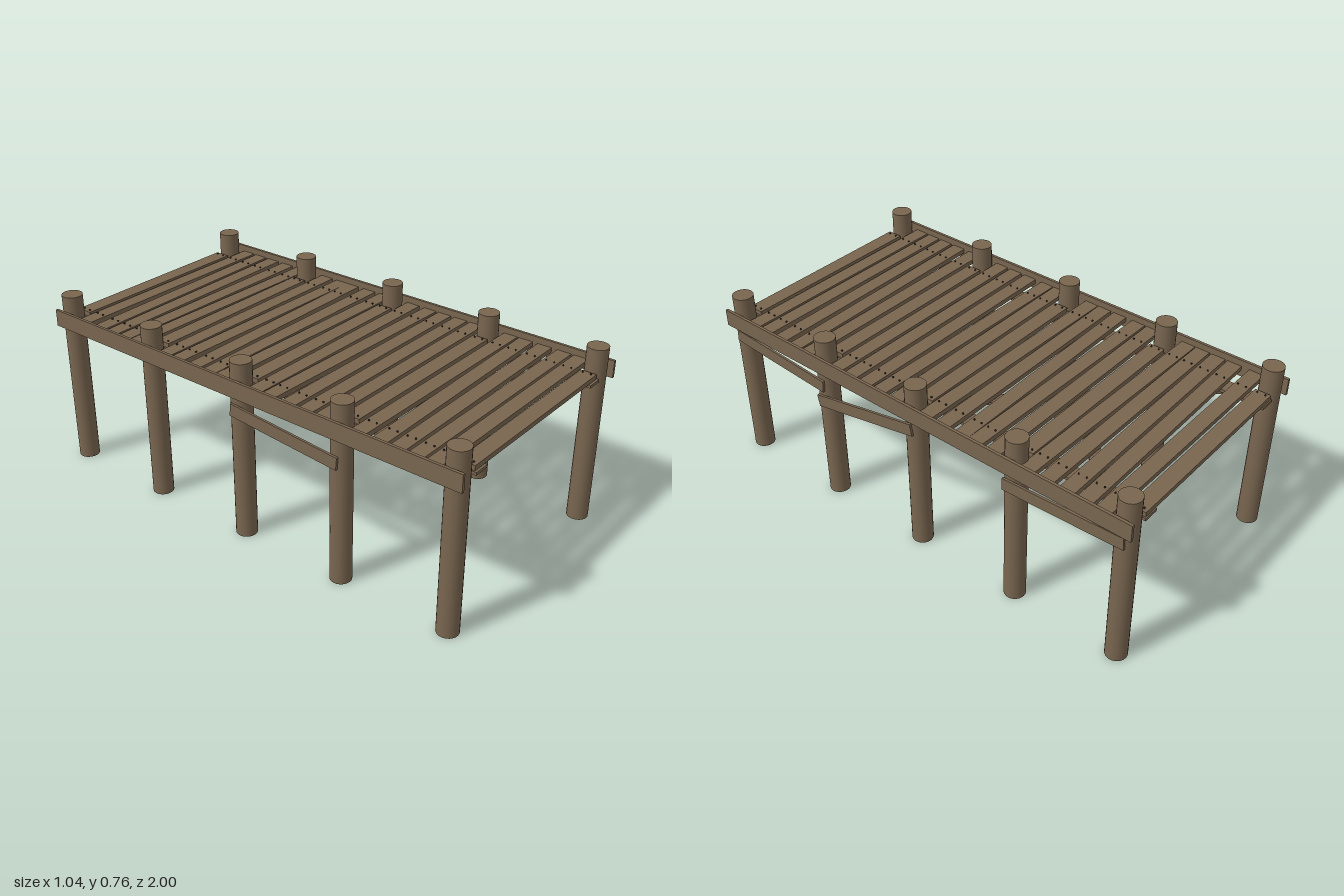
import * as THREE from 'three';

export function createModel() {
  const dock = new THREE.Group();
  dock.name = 'dock';
  const wood = new THREE.MeshStandardMaterial({ color: 0x78654f });
  wood.name = 'weathered wood';
  const iron = new THREE.MeshStandardMaterial({ color: 0x35302b });
  iron.name = 'nail iron';

  const add = (name, geometry, x, y, z, material = wood) => {
    const mesh = new THREE.Mesh(geometry, material);
    mesh.name = name;
    mesh.position.set(x, y, z);
    dock.add(mesh);
    return mesh;
  };

  // Five pairs of round posts
  const postGeo = new THREE.CylinderGeometry(0.043, 0.043, 0.757, 24);
  for (const z of [-0.95, -0.48, -0.005, 0.47, 0.948]) {
    add('post', postGeo, -0.469, 0.3785, z);
    add('post', postGeo, 0.465, 0.3785, z);
  }

  // Long side rails and the stringers below the deck
  for (const side of [-1, 1]) {
    add('sideRail', new THREE.BoxGeometry(0.012, 0.072, 2), side * 0.516, 0.655, 0);
    add('stringer', new THREE.BoxGeometry(0.066, 0.012, 1.975), side * 0.388, 0.639, 0);
  }

  // Slanted boards nailed to the outside of the posts: x, z1, y1, z2, y2
  const sideBraces = [
    [0.512, 0.95, 0.587, 0.45, 0.555],
    [0.512, 0.485, 0.475, -0.02, 0.578],
    [0.512, -0.455, 0.562, -0.97, 0.587],
    [-0.516, 0.485, 0.525, -0.02, 0.565],
  ];
  for (const [x, z1, y1, z2, y2] of sideBraces) {
    const length = Math.hypot(z2 - z1, y2 - y1);
    const brace = add('sideBrace', new THREE.BoxGeometry(0.01, 0.052, length),
      x, (y1 + y2) / 2, (z1 + z2) / 2);
    brace.rotation.x = Math.atan2(y2 - y1, z1 - z2);
  }

  // Two crossed pairs of boards under the deck
  for (const [z1, z2] of [[-0.8, -0.01], [0.03, 0.83]]) {
    for (const side of [-1, 1]) {
      const brace = add('crossBrace',
        new THREE.BoxGeometry(0.05, 0.011, Math.hypot(0.77, z2 - z1)),
        0, side > 0 ? 0.6275 : 0.632, (z1 + z2) / 2);
      brace.rotation.y = side * Math.atan2(0.77, z2 - z1);
    }
  }

  // Deck planks: centre z and sideways skew; every sixth one fits between posts
  const planks = [
    [-0.95, 0], [-0.868, 0], [-0.783, 0.02], [-0.709, 0.016], [-0.63, 0], [-0.556, -0.018],
    [-0.48, 0], [-0.397, 0], [-0.32, -0.016], [-0.243, 0.014], [-0.16, 0], [-0.085, -0.02],
    [-0.005, 0], [0.074, 0], [0.15, -0.02], [0.233, 0], [0.312, 0], [0.388, 0],
    [0.468, 0], [0.55, 0], [0.63, 0.021], [0.71, 0.012], [0.79, 0], [0.863, 0], [0.945, 0],
  ];
  const shortPlank = new THREE.BoxGeometry(0.83, 0.02, 0.066);
  const longPlank = new THREE.BoxGeometry(1.018, 0.02, 0.062);
  const nailGeo = new THREE.CylinderGeometry(0.0035, 0.0035, 0.006, 6);
  planks.forEach(([z, skew], i) => {
    const isShort = i % 6 === 0;
    const plank = add('plank', isShort ? shortPlank : longPlank, 0, 0.655, z);
    plank.rotation.y = skew;
    // Two nails at each end, over the stringers
    for (const x of [-0.4, 0.4]) {
      for (const dz of [-0.017, 0.017]) {
        add('nail', nailGeo, x, 0.667, z + dz - x * Math.sin(skew), iron);
      }
    }
  });

  return dock;
}
